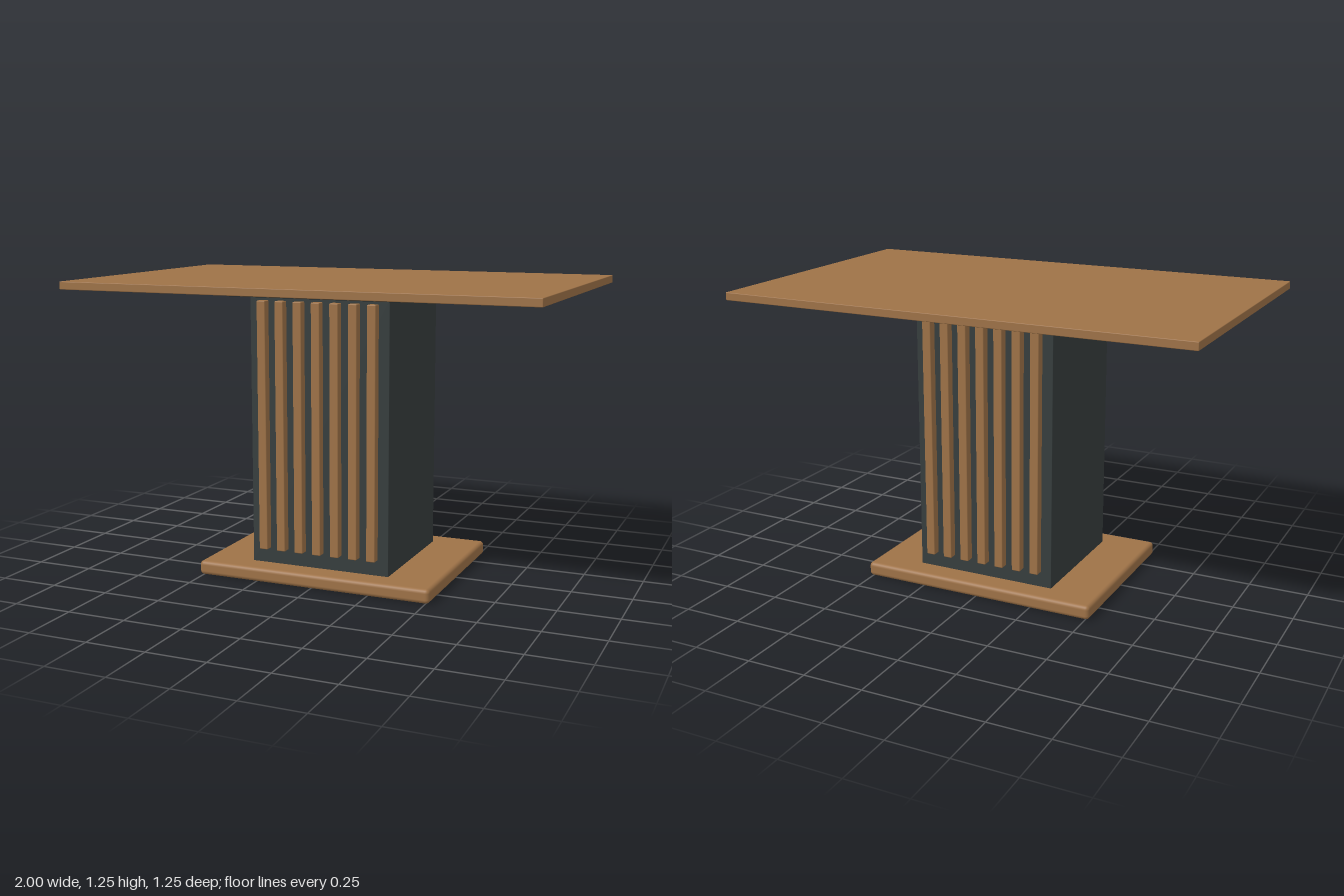
import * as THREE from 'three';
import { RoundedBoxGeometry } from 'three/addons/geometries/RoundedBoxGeometry.js';

export function createModel() {
  const wood = new THREE.MeshStandardMaterial({ color: 0x9e7247 });
  wood.name = 'warm wood';
  const charcoal = new THREE.MeshStandardMaterial({ color: 0x363d3d });
  charcoal.name = 'charcoal';

  const table = new THREE.Group();
  table.name = 'pedestalTable';

  // Box spanning y0..y1 with softened edges of the given radius
  function block(name, material, width, depth, y0, y1, radius, x = 0, z = 0) {
    const mesh = new THREE.Mesh(
      new RoundedBoxGeometry(width, y1 - y0, depth, 3, radius), material);
    mesh.name = name;
    mesh.position.set(x, (y0 + y1) / 2, z);
    table.add(mesh);
  }

  // Foot, column, collar and top
  block('basePlate', wood, 1.033, 0.767, 0, 0.06, 0.017);
  block('column', charcoal, 0.613, 0.567, 0.058, 1.189, 0.002);
  block('topCollar', charcoal, 0.8, 0.667, 1.187, 1.218, 0.006);
  block('tableTop', wood, 2, 1.25, 1.217, 1.25, 0.003);

  // Seven vertical slats on the front and on the back
  for (const side of [1, -1]) {
    for (let i = -3; i <= 3; i++) {
      block(side > 0 ? 'frontSlat' : 'backSlat', wood,
        0.038, 0.038, 0.125, 1.173, 0.004, i * 0.0807, side * 0.301);
    }
  }
  return table;
}
